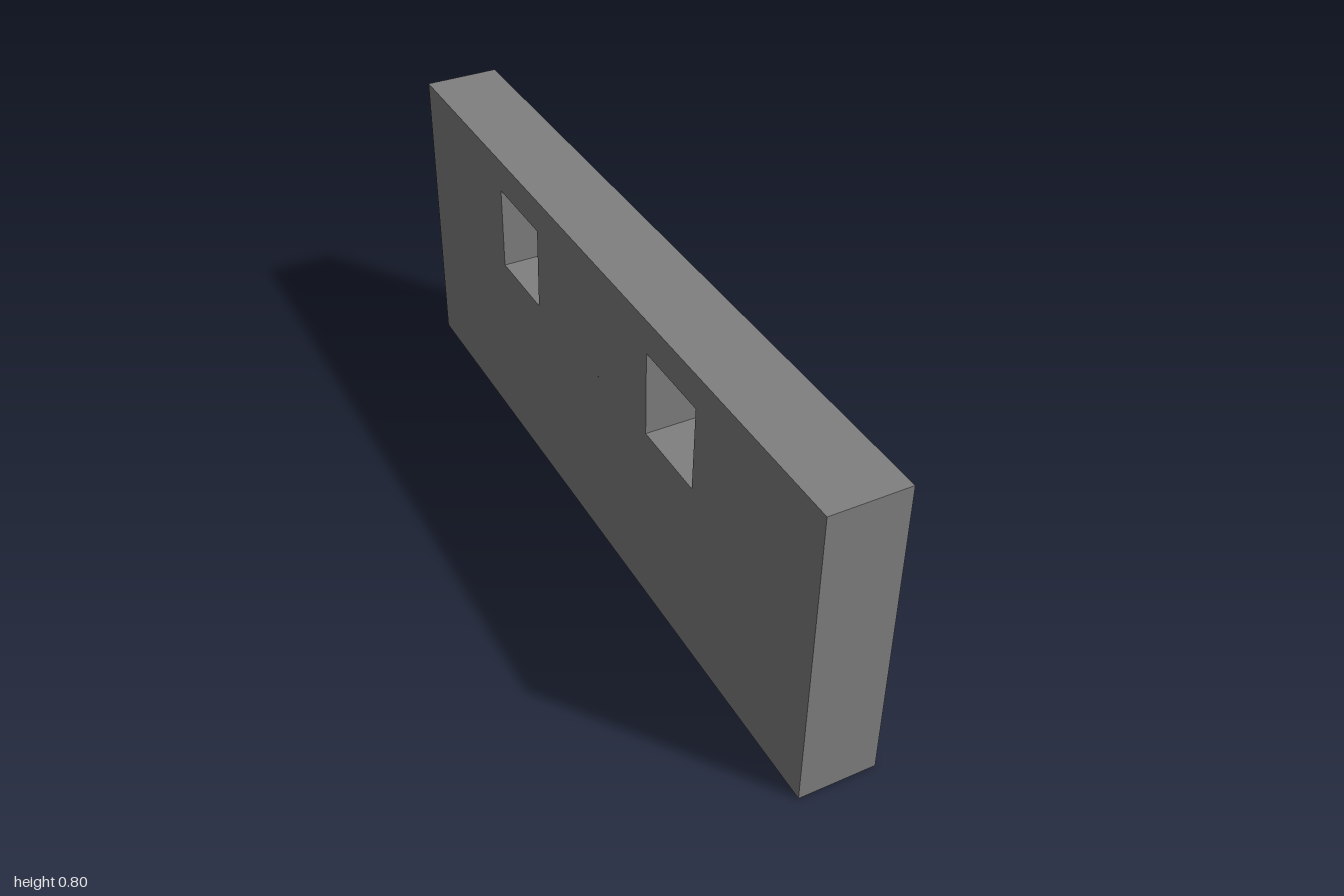
import * as THREE from 'three';

const THICKNESS = 0.196;

// Closed four-sided outline from corner points (z, y)
function outline(PathType, points) {
  const path = new PathType();
  points.forEach(([z, y], i) => (i ? path.lineTo(z, y) : path.moveTo(z, y)));
  path.closePath();
  return path;
}

export function createModel() {
  const group = new THREE.Group();
  group.name = 'wallWithWindows';

  const concrete = new THREE.MeshStandardMaterial({ color: 0x808080 });
  concrete.name = 'concrete grey';

  // Wall slab, drawn in its side profile
  const wall = outline(THREE.Shape, [[-1, 0], [1, 0], [1, 0.8], [-1, 0.8]]);

  // Two window openings, each with one slightly leaning jamb
  for (const centre of [-0.4, 0.4]) {
    wall.holes.push(outline(THREE.Path, [
      [centre - 0.112, 0.49], [centre - 0.112, 0.713],
      [centre + 0.11, 0.713], [centre + 0.104, 0.49],
    ]));
  }

  const geometry = new THREE.ExtrudeGeometry(wall, { depth: THICKNESS, bevelEnabled: false });
  geometry.translate(0, 0, -THICKNESS / 2);
  geometry.rotateY(-Math.PI / 2);

  const mesh = new THREE.Mesh(geometry, concrete);
  mesh.name = 'wall';
  group.add(mesh);
  return group;
}
